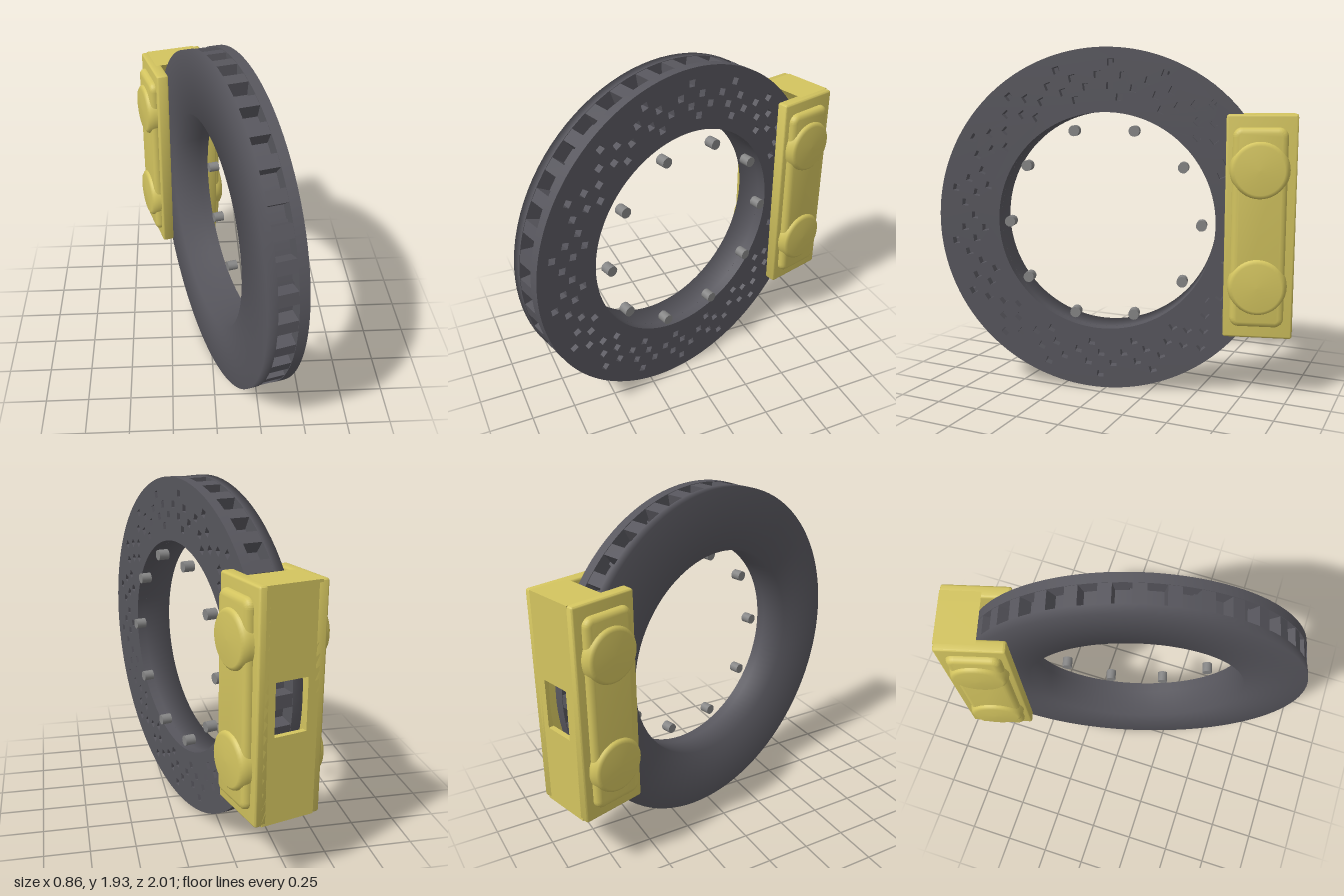
import * as THREE from 'three';
import { toCreasedNormals } from 'three/addons/utils/BufferGeometryUtils.js';

const material = (name, color) => {
  const m = new THREE.MeshStandardMaterial({ color });
  m.name = name;
  return m;
};

// Extrude a shape drawn in the disc plane (toward the caliper, up) along the axle from x0 to x1
function axial(shape, x0, x1, bevel = 0) {
  const g = new THREE.ExtrudeGeometry(shape, {
    depth: x1 - x0 - 2 * bevel, curveSegments: 96, bevelEnabled: bevel > 0,
    bevelSize: bevel, bevelThickness: bevel, bevelOffset: -bevel, bevelSegments: 3,
  });
  g.translate(0, 0, x0 + bevel).rotateY(Math.PI / 2);
  return toCreasedNormals(g, 0.6);
}

function roundedRect(a0, a1, y0, y1, r) {
  const s = new THREE.Shape();
  s.absarc(a1 - r, y1 - r, r, 0, Math.PI / 2);
  s.absarc(a0 + r, y1 - r, r, Math.PI / 2, Math.PI);
  s.absarc(a0 + r, y0 + r, r, Math.PI, Math.PI * 1.5);
  s.absarc(a1 - r, y0 + r, r, Math.PI * 1.5, Math.PI * 2);
  s.closePath();
  return s;
}

export function createModel() {
  const iron = material('dark iron', 0x57565d);
  const paint = material('yellow paint', 0xd3c45f);
  const steel = material('steel', 0x858585);
  const model = new THREE.Group();
  model.name = 'brakeAssembly';
  const add = (parent, name, geometry, mat) => {
    const m = new THREE.Mesh(geometry, mat);
    m.name = name;
    parent.add(m);
    return m;
  };

  // ---- Vented disc, axle along x ----
  const R = 0.967, INNER = 0.615, HALF = 0.11, SLOT = 0.055, FLOOR = 0.885;
  const disc = new THREE.Group();
  disc.name = 'disc';
  model.add(disc);
  const turned = (name, pts) => {
    const g = new THREE.LatheGeometry(pts.map(p => new THREE.Vector2(...p)), 96);
    add(disc, name, g.rotateZ(-Math.PI / 2), iron);
  };
  turned('innerFace', [[INNER, SLOT], [INNER, -HALF], [R, -HALF], [R, -SLOT]]);
  turned('ventSide', [[R, -SLOT], [FLOOR, -SLOT]]);
  turned('ventFloor', [[FLOOR, -SLOT], [FLOOR, SLOT]]);
  turned('drillingFloor', [[FLOOR, SLOT], [INNER, SLOT]]);

  // Drilled outer plate: rows of [radius, count, phase in degrees]
  const plate = new THREE.Shape().absarc(0, 0, R, 0, Math.PI * 2);
  plate.holes.push(new THREE.Path().absarc(0, 0, INNER, 0, Math.PI * 2, true));
  for (const [r, count, phase] of [[0.7, 18, 6.5], [0.76, 36, 2], [0.82, 36, -3], [0.885, 18, 2]]) {
    for (let i = 0; i < count; i++) {
      const t = THREE.MathUtils.degToRad(phase + i * 360 / count);
      const s = Math.sin(t), c = Math.cos(t), h = 0.019;
      const corners = [[-h, -h], [-h, h], [h, h], [h, -h]].map(([u, v]) =>
        new THREE.Vector2((r + v) * s + u * c, (r + v) * c - u * s));
      plate.holes.push(new THREE.Path(corners));
    }
  }
  add(disc, 'drilledPlate', axial(plate, SLOT, HALF), iron);

  // Vanes dividing the rim groove into vents
  const vane = new THREE.BoxGeometry(SLOT * 2, 0.09, 0.07).translate(0, 0.964 - 0.045, 0);
  for (let i = 0; i < 36; i++) {
    add(disc, 'vane', vane, iron).rotation.x = i * Math.PI / 18;
  }

  // Ring of mounting studs
  const stud = toCreasedNormals(new THREE.CylinderGeometry(0.03, 0.03, 0.06, 16), 0.6)
    .rotateZ(Math.PI / 2).translate(0.123, 0.54, 0);
  for (let i = 0; i < 10; i++) {
    add(model, 'stud', stud, steel).rotation.x = Math.PI / 10 + i * Math.PI / 5;
  }

  // ---- Caliper ----
  const caliper = new THREE.Group();
  caliper.name = 'caliper';
  model.add(caliper);
  const H = 0.607, BACK = 1.04, W = 0.12;

  // Bridge behind the rim, hollowed by an arc, from height y0 to y1
  const bridge = (x0, x1, y0, y1) => {
    const s = new THREE.Shape();
    s.moveTo(BACK, y0);
    s.lineTo(BACK, y1);
    for (let i = 0; i <= 16; i++) {
      const y = y1 + (y0 - y1) * i / 16;
      s.lineTo(Math.sqrt(1.02 * 1.02 - y * y), y);
    }
    s.closePath();
    add(caliper, 'bridge', axial(s, x0, x1), paint);
  };
  const WIN = 0.09, WINH = 0.14;
  bridge(-WIN, WIN, WINH, H);
  bridge(-WIN, WIN, -H, -WINH);
  bridge(WIN, W + 0.03, -H, H);
  bridge(-W - 0.03, -WIN, -H, H);

  // Two matching halves, each with a raised panel and two piston housings
  const cheek = axial(roundedRect(0.665, BACK, -H, H, 0.015), W - 0.003, 0.187, 0.012);
  const panel = axial(roundedRect(0.70, 0.99, -0.54, 0.54, 0.05), 0.155, 0.222, 0.03);
  const piston = new THREE.LatheGeometry(
    [[0.162, 0.17], [0.158, 0.205], [0.148, 0.232], [0.13, 0.245], [0, 0.248]]
      .map(p => new THREE.Vector2(...p)), 40).rotateZ(-Math.PI / 2);
  for (const turn of [0, Math.PI]) {
    const half = new THREE.Group();
    half.name = 'caliperHalf';
    half.rotation.z = turn;
    add(half, 'cheek', cheek, paint);
    add(half, 'panel', panel, paint);
    for (const y of [-0.315, 0.315]) {
      add(half, 'pistonHousing', piston, paint).position.set(0, y, -0.845);
    }
    caliper.add(half);
  }

  // Steered slightly, standing on the ground
  model.rotation.y = 0.272;
  model.position.set(0.068, R, 0.031);
  const root = new THREE.Group();
  root.name = 'discBrake';
  root.add(model);
  return root;
}
